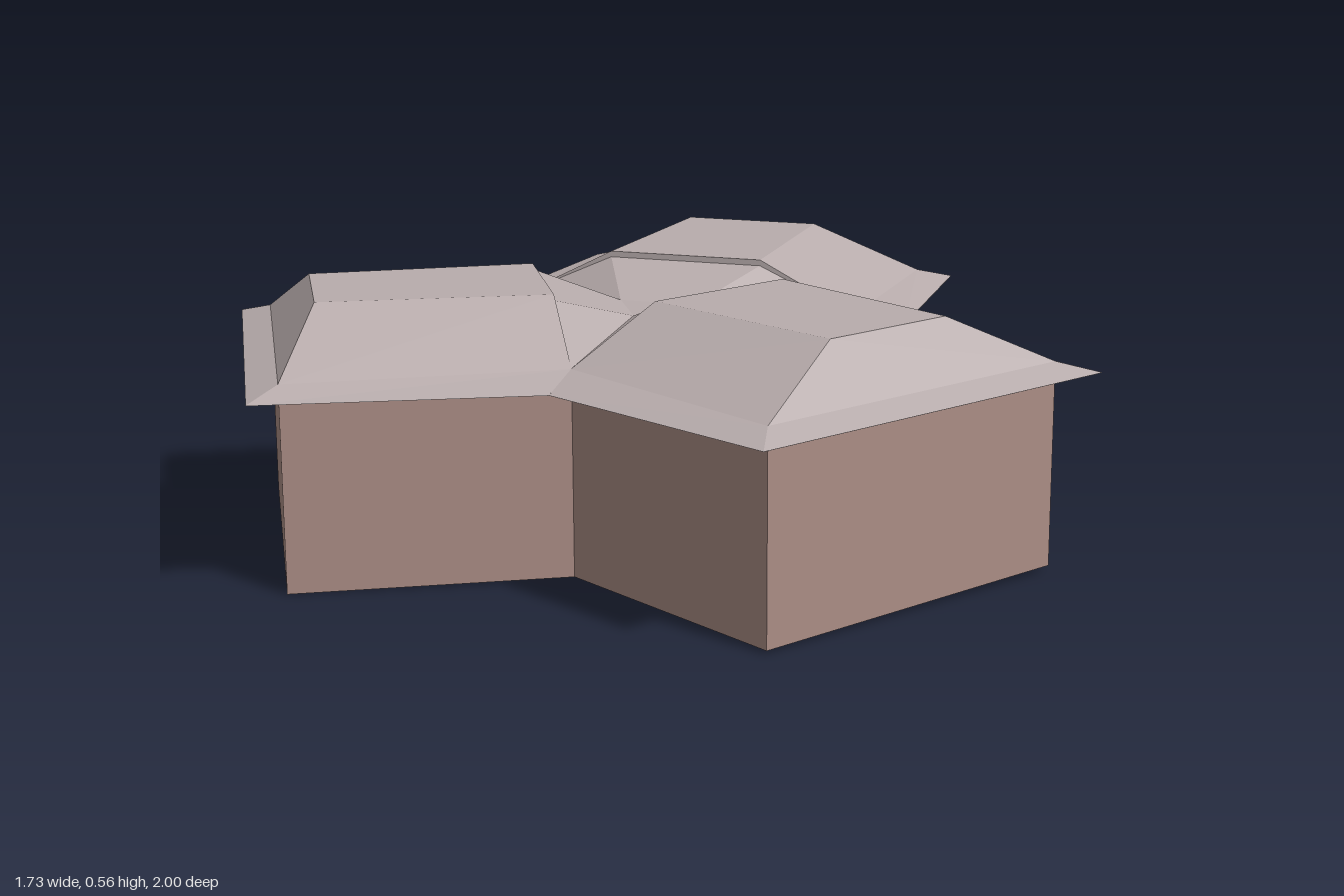
import * as THREE from 'three';

const wallMat = new THREE.MeshStandardMaterial({ color: 0xaa8c84, flatShading: true });
const roofMat = new THREE.MeshStandardMaterial({ color: 0xb8acac, flatShading: true, side: THREE.DoubleSide });
const floorMat = new THREE.MeshStandardMaterial({ color: 0xcccccc, flatShading: true });

const WINGS = [Math.PI / 3, Math.PI, -Math.PI / 3];
const CX = 0.02; // where the three wings meet

// Point at u along a wing, v across it, y up
const at = (a, u, v, y) => [
  CX + u * Math.cos(a) - v * Math.sin(a), y, u * Math.sin(a) + v * Math.cos(a)];

// Mesh from convex polygons, each a list of points, fanned into triangles
function facets(name, polys) {
  const pos = [];
  for (const p of polys)
    for (let i = 1; i < p.length - 1; i++) pos.push(...p[0], ...p[i], ...p[i + 1]);
  const g = new THREE.BufferGeometry();
  g.setAttribute('position', new THREE.Float32BufferAttribute(pos, 3));
  g.computeVertexNormals();
  const m = new THREE.Mesh(g, roofMat);
  m.name = name;
  return m;
}

// Plan outline: two end corners per wing, then the inner corner to the next wing
function plan(length, halfWidth, valley) {
  const pts = [];
  for (const a of WINGS) {
    for (const [u, v] of [[length, -halfWidth], [length, halfWidth], [valley * 0.5, valley * 0.866]]) {
      const p = at(a, u, v, 0);
      pts.push(new THREE.Vector2(p[0], -p[2]));
    }
  }
  return new THREE.Shape(pts);
}

export function createModel() {
  const house = new THREE.Group();
  house.name = 'threeWingHouse';

  // Walls and floor
  const wallGeo = new THREE.ExtrudeGeometry(plan(0.82, 0.4, 0.46), { depth: 0.416, bevelEnabled: false });
  wallGeo.rotateX(-Math.PI / 2);
  const walls = new THREE.Mesh(wallGeo, [floorMat, wallMat]);
  walls.name = 'walls';
  walls.position.y = 0.009;
  house.add(walls);

  // Underside of the overhanging eaves
  const eaveGeo = new THREE.ShapeGeometry(plan(0.885, 0.47, 0.58));
  eaveGeo.rotateX(-Math.PI / 2);
  const eaves = new THREE.Mesh(eaveGeo, roofMat);
  eaves.name = 'eaves';
  eaves.position.y = 0.424;
  house.add(eaves);

  const sunk = [];
  WINGS.forEach((a, i) => {
    const P = (u, v, y) => at(a, u, v, y);
    // Wing roof: shallow eave skirt, steeper slopes, flat top and gable strip
    const polys = [
      [P(0.885, -0.47, 0.425), P(0.82, -0.4, 0.448), P(0.82, 0.4, 0.448), P(0.885, 0.47, 0.425)],
      [P(0.82, -0.4, 0.448), P(0.735, -0.16, 0.563), P(0.735, 0.16, 0.563), P(0.82, 0.4, 0.448)],
      [P(0.235, -0.18, 0.563), P(0.235, 0.18, 0.563), P(0.735, 0.16, 0.563), P(0.735, -0.16, 0.563)],
      [P(0.23, -0.4, 0.452), P(0.23, 0.4, 0.452), P(0.235, 0.18, 0.563), P(0.235, -0.18, 0.563)],
    ];
    for (const s of [1, -1]) {
      const sides = [
        [P(0.29, s * 0.502, 0.425), P(0.885, s * 0.47, 0.425), P(0.82, s * 0.4, 0.448), P(0.23, s * 0.4, 0.452)],
        [P(0.23, s * 0.4, 0.452), P(0.82, s * 0.4, 0.448), P(0.735, s * 0.16, 0.563), P(0.235, s * 0.18, 0.563)],
      ];
      polys.push(...(s > 0 ? sides : sides.map((p) => p.reverse())));
    }
    house.add(facets('wingRoof' + (i + 1), polys));

    // Sunken middle: a slope down from each wing and two valley faces beside it
    sunk.push([P(0.05, -0.087, 0.49), P(0.05, 0.087, 0.49), P(0.235, 0.18, 0.55), P(0.235, -0.18, 0.55)]);
    sunk.push([P(0.05, 0.087, 0.49), P(0.23, 0.4, 0.452), P(0.235, 0.18, 0.55)]);
    sunk.push([P(0.05, -0.087, 0.49), P(0.235, -0.18, 0.55), P(0.23, -0.4, 0.452)]);
  });
  sunk.push(WINGS.map((a) => at(a, 0.05, 0.087, 0.49)));
  house.add(facets('centreRoof', sunk));

  // The whole building leans very slightly
  house.rotation.z = 0.0075;
  const model = new THREE.Group();
  model.add(house);
  return model;
}
